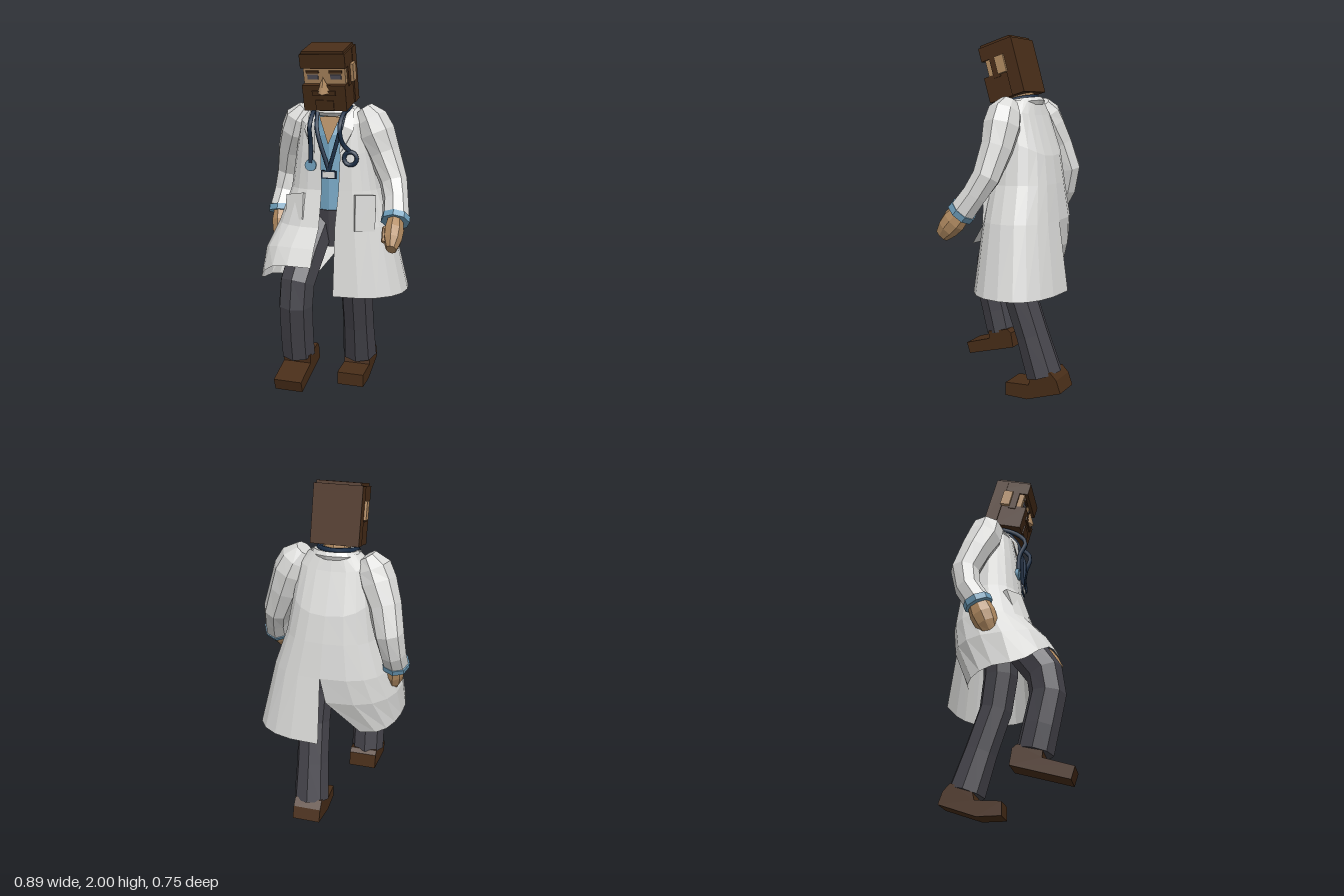
import * as THREE from 'three';

const mat = (name, color, side = THREE.FrontSide) => {
  const m = new THREE.MeshStandardMaterial({ color, side });
  m.name = name;
  return m;
};
const M = {
  coat: mat('coat white', 0xdadad8, THREE.DoubleSide),
  trousers: mat('charcoal', 0x44434a),
  brown: mat('dark brown', 0x482d18),
  skin: mat('skin', 0xb38c62, THREE.DoubleSide),
  blue: mat('light blue', 0x6f9fbc),
  navy: mat('navy', 0x1d3048),
  eye: mat('eye grey', 0x54525c),
};
const V = (a) => new THREE.Vector3(a[0], a[1], a[2]);

function add(parent, name, geo, material, pos = [0, 0, 0], rot = [0, 0, 0]) {
  const m = new THREE.Mesh(geo, material);
  m.name = name;
  m.position.set(...pos);
  m.rotation.set(...rot);
  parent.add(m);
  return m;
}
const box = (p, name, material, size, pos, rot) =>
  add(p, name, new THREE.BoxGeometry(...size), material, pos, rot);

// Faceted surface from triangles
function facets(tris) {
  const g = new THREE.BufferGeometry().setFromPoints(tris);
  g.computeVertexNormals();
  return g;
}
// Faceted skin across rows of points
function skinRows(rows) {
  const t = [];
  for (let i = 0; i < rows.length - 1; i++)
    for (let j = 0; j < rows[i].length - 1; j++) {
      const a = rows[i][j], b = rows[i][j + 1], c = rows[i + 1][j], d = rows[i + 1][j + 1];
      t.push(a, b, c, b, d, c);
    }
  return t;
}
// Capped limb along downward stations [x, y, z, radius, depthRadius]
function limb(stations, sides = 8) {
  const c = stations.map(V);
  const rows = stations.map((s, i) => {
    const t = c[Math.min(i + 1, c.length - 1)].clone().sub(c[Math.max(i - 1, 0)]).normalize();
    const u = new THREE.Vector3(1, 0, 0).addScaledVector(t, -t.x).normalize();
    const w = t.clone().cross(u);
    return Array.from({ length: sides + 1 }, (_, j) => {
      const a = (j / sides) * Math.PI * 2;
      return c[i].clone().addScaledVector(u, Math.cos(a) * s[3])
        .addScaledVector(w, Math.sin(a) * (s[4] ?? s[3]));
    });
  });
  const t = skinRows(rows), n = rows.length - 1;
  for (let j = 0; j < sides; j++)
    t.push(c[0], rows[0][j + 1], rows[0][j], c[n], rows[n][j], rows[n][j + 1]);
  return facets(t);
}
// Half of the coat; each row holds its front edge, side and centre back points
function coatHalf(rows) {
  const N = 5;
  return facets(skinRows(rows.map(([fx, fy, fz, sx, sy, sz, bx, by, bz]) => {
    const pts = [];
    for (let j = 0; j <= N; j++) {
      const a = (j / N) * Math.PI / 2, s = Math.sin(a), c = Math.max(0, Math.cos(a));
      pts.push(new THREE.Vector3(fx + (sx - fx) * s ** 0.8, fy + (sy - fy) * s ** 4, sz + (fz - sz) * c ** 0.9));
    }
    for (let j = 1; j <= N; j++) {
      const a = (j / N) * Math.PI / 2, s = Math.sin(a), c = Math.max(0, Math.cos(a));
      pts.push(new THREE.Vector3(bx + (sx - bx) * c ** 0.75, sy + (by - sy) * s * s, sz + (bz - sz) * s ** 0.85));
    }
    return pts;
  })));
}
const tube = (pts, r) =>
  new THREE.TubeGeometry(new THREE.CatmullRomCurve3(pts.map(V)), 32, r, 6);
// Shoe from a side profile of [z, y] points
function shoe(profile, x, w = 0.16) {
  const s = new THREE.Shape(profile.map((p) => new THREE.Vector2(...p)));
  return new THREE.ExtrudeGeometry(s, { depth: w, bevelEnabled: false })
    .rotateY(-Math.PI / 2).translate(x + w / 2, 0, 0);
}

function buildHead(root) {
  const h = new THREE.Group();
  h.name = 'head';
  h.position.set(-0.035, 1.811, 0.026);
  h.rotation.x = 0.28;
  root.add(h);
  box(h, 'face', M.skin, [0.232, 0.26, 0.17], [0, -0.005, 0]);
  box(h, 'hairTop', M.brown, [0.25, 0.075, 0.21], [0, 0.115, 0]);
  box(h, 'hairCap', M.brown, [0.232, 0.016, 0.19], [0, 0.158, 0]);
  box(h, 'hairBack', M.brown, [0.255, 0.3, 0.075], [0, 0, -0.07]);
  box(h, 'sideburns', M.brown, [0.25, 0.12, 0.045], [0, 0.03, 0.032]);
  box(h, 'beard', M.brown, [0.24, 0.14, 0.15], [0, -0.08, 0.042]);
  box(h, 'moustache', M.brown, [0.13, 0.025, 0.02], [0, -0.05, 0.115]);
  box(h, 'chinTuft', M.brown, [0.1, 0.055, 0.014], [0, -0.118, 0.117]);
  add(h, 'nose', new THREE.ConeGeometry(0.044, 0.085, 4).toNonIndexed(), M.skin, [0, -0.008, 0.112]);
  for (const s of [-1, 1]) {
    box(h, 'ear', M.skin, [0.025, 0.095, 0.055], [s * 0.128, 0.03, -0.012]);
    box(h, 'eye', M.eye, [0.06, 0.026, 0.008], [s * 0.064, 0.028, 0.086]);
    box(h, 'eyebrow', M.brown, [0.07, 0.014, 0.012], [s * 0.064, 0.056, 0.088]);
  }
}

export function createModel() {
  const root = new THREE.Group();
  root.name = 'walkingDoctor';
  buildHead(root);

  // Neck, shirt and waist
  add(root, 'neck', limb([[-0.03, 1.72, -0.03, 0.07], [-0.03, 1.55, -0.06, 0.08]]), M.skin);
  add(root, 'shirt', limb([
    [-0.03, 1.62, -0.06, 0.1, 0.07], [-0.03, 1.5, -0.06, 0.13, 0.11],
    [-0.025, 1.3, -0.06, 0.14, 0.13], [-0.02, 1.08, -0.06, 0.15, 0.15]], 12), M.blue);
  add(root, 'openNeck', facets([V([-0.09, 1.6, 0.04]), V([-0.03, 1.45, 0.072]), V([0.03, 1.6, 0.04])]), M.skin);
  add(root, 'waist', limb([[-0.02, 1.09, -0.06, 0.158, 0.157], [-0.02, 0.88, -0.06, 0.17, 0.14]], 12), M.trousers);

  // Trouser legs and shoes
  add(root, 'rightLeg', limb([
    [-0.1, 1.04, -0.03, 0.1], [-0.135, 0.86, 0.12, 0.105], [-0.16, 0.7, 0.225, 0.1],
    [-0.165, 0.58, 0.24, 0.098], [-0.175, 0.4, 0.2, 0.098], [-0.178, 0.27, 0.17, 0.098]]), M.trousers);
  add(root, 'leftLeg', limb([
    [0.07, 1.04, -0.06, 0.1], [0.085, 0.8, -0.06, 0.1], [0.092, 0.6, -0.09, 0.095],
    [0.082, 0.36, -0.17, 0.095], [0.073, 0.14, -0.24, 0.105]]), M.trousers);
  add(root, 'rightShoe', shoe([[0.353, 0.11], [0.05, 0.195], [0.065, 0.28], [0.09, 0.3], [0.22, 0.27],
    [0.215, 0.225], [0.375, 0.175]], -0.17), M.brown);
  add(root, 'leftShoe', shoe([[-0.035, 0], [-0.17, 0], [-0.375, 0.07], [-0.35, 0.14], [-0.31, 0.18],
    [-0.19, 0.13], [-0.18, 0.085], [-0.035, 0.075]], 0.07), M.brown);

  // Coat: the right half is swept up and forward by the raised leg
  add(root, 'coatLeft', coatHalf([
    [0.055, 1.63, -0.01, 0.1, 1.65, -0.06, -0.03, 1.66, -0.14],
    [0.045, 1.56, 0.05, 0.16, 1.59, -0.06, -0.03, 1.57, -0.165],
    [0.04, 1.4, 0.075, 0.19, 1.42, -0.07, -0.02, 1.35, -0.24],
    [0.035, 1.2, 0.09, 0.23, 1.2, -0.08, -0.01, 1.2, -0.265],
    [0.02, 1.0, 0.11, 0.3, 1.0, -0.09, 0, 1.0, -0.29],
    [0.02, 0.61, 0.15, 0.39, 0.61, -0.12, 0, 0.61, -0.345]]), M.coat);
  add(root, 'coatRight', coatHalf([
    [-0.115, 1.63, -0.01, -0.16, 1.65, -0.06, -0.03, 1.66, -0.14],
    [-0.105, 1.56, 0.05, -0.22, 1.59, -0.06, -0.03, 1.57, -0.165],
    [-0.07, 1.4, 0.075, -0.25, 1.42, -0.065, -0.02, 1.35, -0.24],
    [-0.06, 1.2, 0.095, -0.28, 1.2, -0.06, -0.01, 1.2, -0.265],
    [-0.055, 1.0, 0.165, -0.345, 1.0, -0.03, 0, 1.0, -0.29],
    [-0.055, 0.9, 0.25, -0.4, 0.85, 0.04, -0.025, 0.84, -0.27],
    [-0.055, 0.81, 0.305, -0.415, 0.67, 0.09, -0.2, 0.61, -0.17]]), M.coat);
  const collar = new THREE.TorusGeometry(0.11, 0.022, 5, 14).rotateX(Math.PI / 2).toNonIndexed();
  collar.computeVertexNormals();
  add(root, 'collar', collar, M.coat, [-0.03, 1.635, -0.06], [0.15, 0, 0]).scale.set(1, 1, 0.8);
  for (const s of [-1, 1]) {
    const p = (x, y, z) => new THREE.Vector3(-0.03 + s * x, y, z);
    add(root, 'lapel', facets(skinRows([
      [p(0.1, 1.655, -0.02), p(0.125, 1.64, -0.01)],
      [p(0.075, 1.56, 0.075), p(0.14, 1.53, 0.06)],
      [p(0.07, 1.4, 0.088), p(0.1, 1.44, 0.082)]])), M.coat);
  }
  box(root, 'leftPocket', M.coat, [0.115, 0.2, 0.03], [0.18, 1.08, 0.07], [-0.06, 0.52, 0]);
  box(root, 'rightPocket', M.coat, [0.14, 0.15, 0.03], [-0.215, 1.095, 0.085], [-0.28, -0.48, 0.06]);

  // Sleeves, cuffs and hands
  const arms = {
    left: [[0.14, 1.64, -0.055, 0.05], [0.18, 1.585, -0.05, 0.092], [0.213, 1.51, -0.05, 0.104],
      [0.258, 1.4, -0.045, 0.09], [0.32, 1.25, -0.015, 0.077], [0.345, 1.16, 0.04, 0.07], [0.362, 1.07, 0.105, 0.074]],
    right: [[-0.2, 1.64, -0.07, 0.05], [-0.235, 1.585, -0.075, 0.092], [-0.262, 1.51, -0.09, 0.1],
      [-0.31, 1.4, -0.13, 0.088], [-0.345, 1.26, -0.175, 0.08], [-0.365, 1.14, -0.15, 0.072], [-0.372, 1.05, -0.095, 0.072]],
  };
  const tips = { left: [0.37, 0.93, 0.235], right: [-0.355, 0.87, -0.025] };
  for (const side of ['left', 'right']) {
    const wrist = V(arms[side].at(-1)), tip = V(tips[side]);
    const along = (t, ...r) => [...wrist.clone().lerp(tip, t).toArray(), ...r];
    add(root, side + 'Sleeve', limb(arms[side]), M.coat);
    add(root, side + 'Cuff', limb([along(-0.06, 0.079), along(0.12, 0.079)]), M.blue);
    add(root, side + 'Hand', limb([along(0.05, 0.042, 0.06), along(0.4, 0.054, 0.07),
      along(0.7, 0.05, 0.062), along(1, 0.028, 0.042)]), M.skin);
    const inward = side === 'left' ? -0.04 : 0.04;
    const thumb = [along(0.3, 0.022), along(0.75, 0.016)];
    thumb.forEach((p) => { p[0] += inward; p[2] += 0.02; });
    add(root, side + 'Thumb', limb(thumb, 6), M.skin);
  }

  // Stethoscope
  add(root, 'stethoscopeTube', tube([[-0.127, 1.35, 0.085], [-0.125, 1.46, 0.09], [-0.118, 1.55, 0.125],
    [-0.12, 1.62, 0.06], [-0.125, 1.655, -0.05], [-0.03, 1.67, -0.125], [0.065, 1.655, -0.05],
    [0.055, 1.62, 0.06], [0.052, 1.55, 0.125], [0.06, 1.46, 0.095], [0.095, 1.42, 0.08]], 0.013), M.navy);
  add(root, 'stethoscopeLoop', new THREE.TorusGeometry(0.036, 0.012, 6, 14), M.navy, [0.1, 1.38, 0.08]);
  add(root, 'stethoscopeDisc', new THREE.CylinderGeometry(0.033, 0.033, 0.02, 12), M.blue,
    [-0.127, 1.335, 0.08], [Math.PI / 2, 0, 0]);

  // Lanyard and badge
  for (const x of [-0.105, 0.05])
    add(root, 'lanyard', tube([[x, 1.62, 0.03], [x * 0.85, 1.53, 0.085], [-0.02, 1.31, 0.09]], 0.012), M.navy);
  box(root, 'badgeFrame', M.navy, [0.085, 0.045, 0.01], [-0.02, 1.288, 0.09]);
  box(root, 'badge', M.coat, [0.07, 0.032, 0.006], [-0.02, 1.288, 0.095]);

  return root;
}
